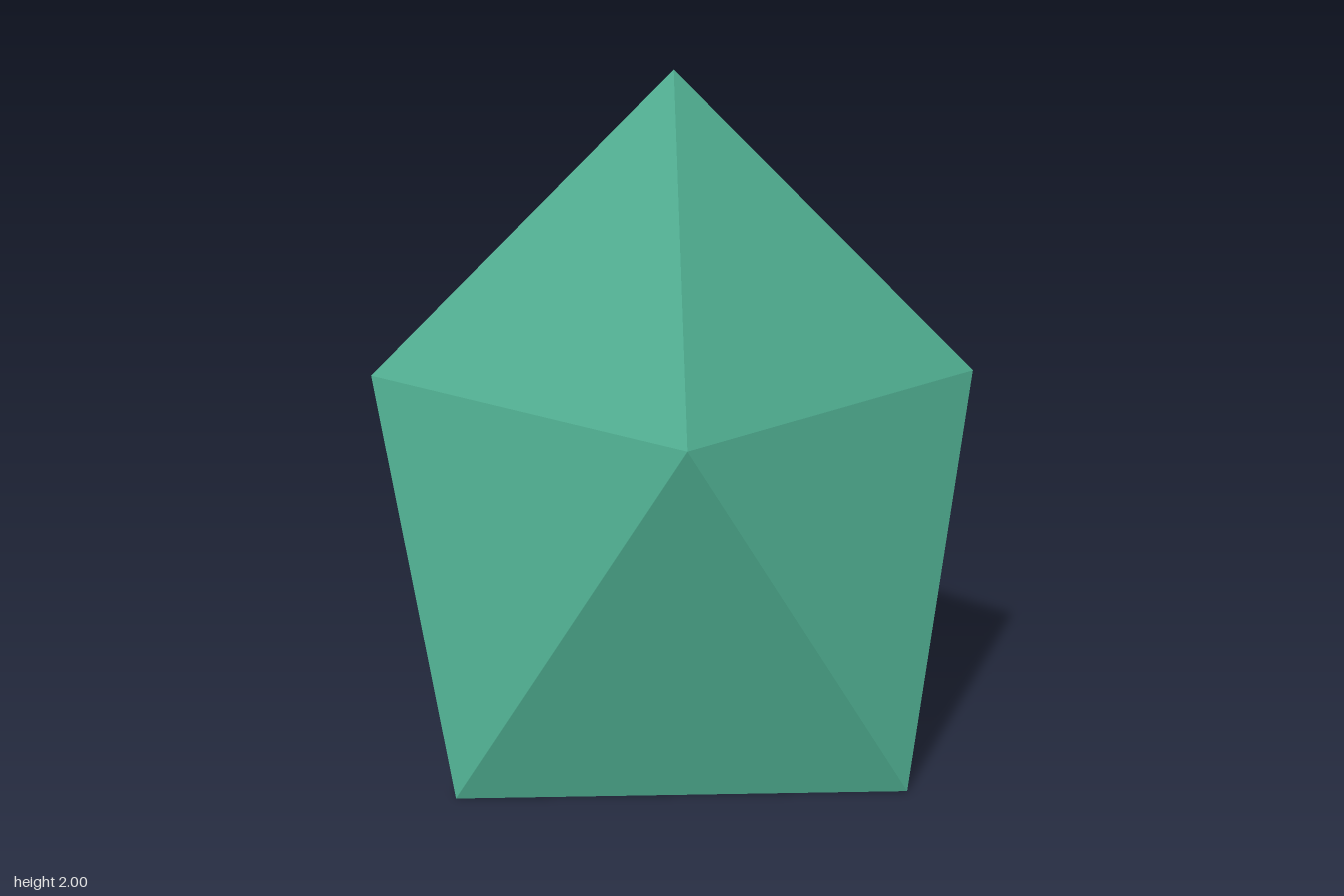
import * as THREE from 'three';

// Four points on a level ring, starting at the given angle
function ring(radius, y, start) {
  return Array.from({ length: 4 }, (_, i) => {
    const a = start + (i * Math.PI) / 2;
    return new THREE.Vector3(radius * Math.cos(a), y, radius * Math.sin(a));
  });
}

// Separate triangles give flat faces with sharp edges
function facets(name, points, material) {
  const geometry = new THREE.BufferGeometry().setFromPoints(points);
  geometry.computeVertexNormals();
  const mesh = new THREE.Mesh(geometry, material);
  mesh.name = name;
  return mesh;
}

export function createModel() {
  const green = new THREE.MeshStandardMaterial({ color: 0x4eac8f });
  green.name = 'sea green';
  const purple = new THREE.MeshStandardMaterial({ color: 0x765f98 });
  purple.name = 'muted purple';

  const apex = new THREE.Vector3(0, 2, 0);
  const mid = ring(0.912, 1.088, 0);
  const foot = ring(0.912, 0, Math.PI / 4);

  const cap = [];
  const band = [];
  for (let i = 0; i < 4; i++) {
    const j = (i + 1) % 4;
    cap.push(apex, mid[j], mid[i]);
    // Twisted band: one triangle pointing down, one pointing up
    band.push(mid[i], mid[j], foot[i]);
    band.push(mid[j], foot[j], foot[i]);
  }
  const base = [foot[0], foot[1], foot[2], foot[0], foot[2], foot[3]];

  const model = new THREE.Group();
  model.name = 'gyroelongatedSquarePyramid';
  model.add(
    facets('pyramidCap', cap, green),
    facets('triangleBand', band, green),
    facets('squareBase', base, purple)
  );
  return model;
}
